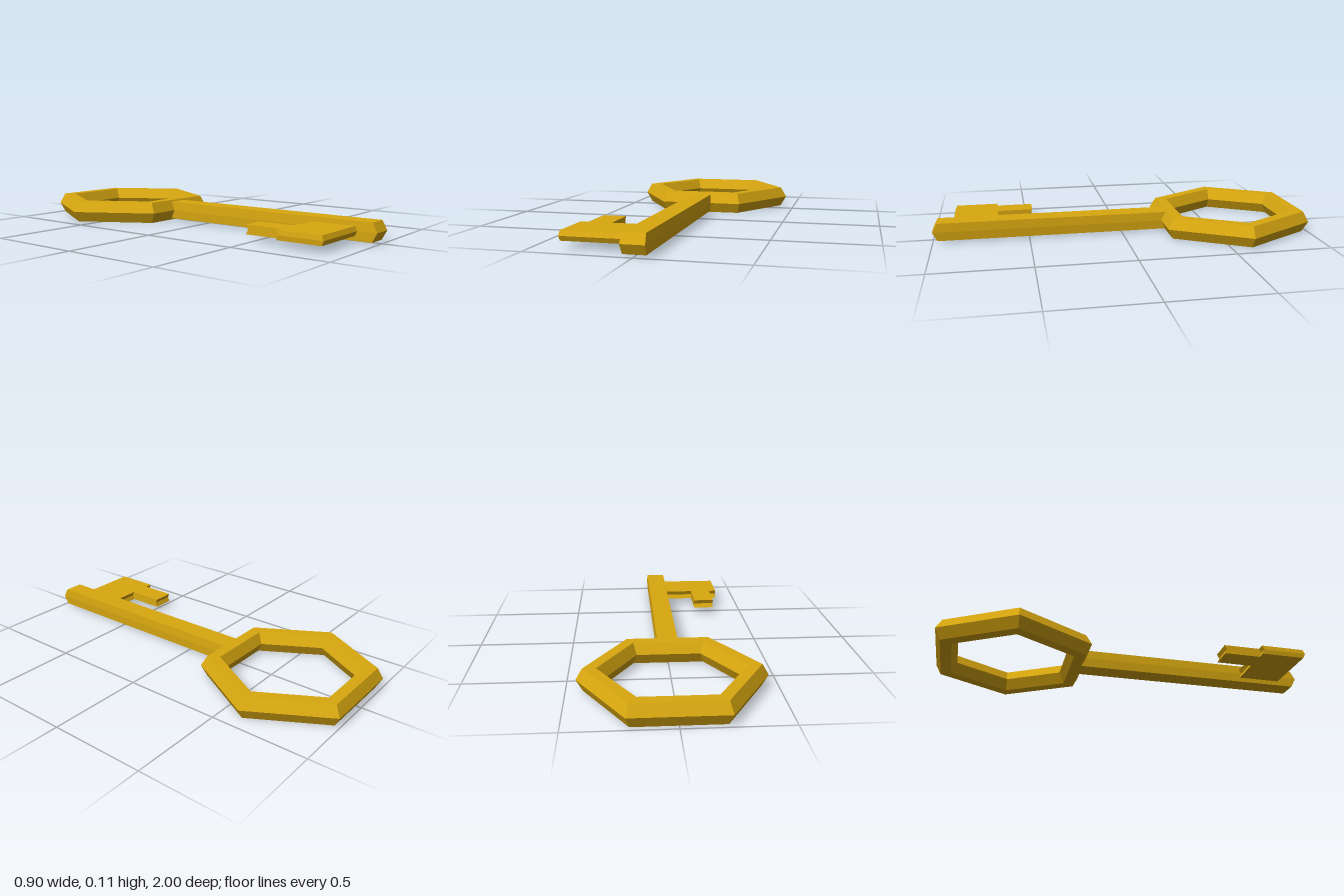
import * as THREE from 'three';

const MID = 0.056; // height of the middle plane

// Flat prism in the x-z plane built from a bottom, middle and top outline.
// Outlines are [x, z] lists, counter-clockwise when z is read as "up".
function layeredPrism(rim, belt, halfHeight) {
  const layers = [[rim, MID - halfHeight], [belt, MID], [rim, MID + halfHeight]];
  const n = rim.length;
  const positions = layers.flatMap(([pts, y]) => pts.flatMap(([x, z]) => [x, y, z]));
  const index = [];
  // side walls
  for (let l = 0; l < 2; l++) {
    for (let i = 0; i < n; i++) {
      const j = (i + 1) % n;
      const a = l * n + i, b = l * n + j;
      index.push(a, a + n, b + n, a, b + n, b);
    }
  }
  // bottom and top caps
  const caps = THREE.ShapeUtils.triangulateShape(rim.map(([x, z]) => new THREE.Vector2(x, z)), []);
  for (const [a, b, c] of caps) index.push(a, b, c, a + 2 * n, c + 2 * n, b + 2 * n);

  const indexed = new THREE.BufferGeometry();
  indexed.setAttribute('position', new THREE.Float32BufferAttribute(positions, 3));
  indexed.setIndex(index);
  const geometry = indexed.toNonIndexed();
  geometry.computeVertexNormals();
  return geometry;
}

export function createModel() {
  const model = new THREE.Group();
  model.name = 'key';
  const brass = new THREE.MeshStandardMaterial({ color: 0xd9a810, flatShading: true });

  const add = (name, geometry) => {
    const mesh = new THREE.Mesh(geometry, brass);
    mesh.name = name;
    model.add(mesh);
    return mesh;
  };

  // Six-sided bow with a hexagonal cross-section
  const bow = add('bow', new THREE.TorusGeometry(0.387, 0.0645, 6, 6));
  bow.rotation.x = -Math.PI / 2;
  bow.position.set(0, MID, -0.609);

  // Shaft, faintly swollen at mid-height with a ridged tip
  const shaftRim = [[-0.053, -0.27], [0.053, -0.27], [0.053, 0.975], [-0.053, 0.975]];
  const shaftBelt = [[-0.056, -0.27], [0.056, -0.27], [0.056, 1], [-0.056, 1]];
  add('shaft', layeredPrism(shaftRim, shaftBelt, 0.047));

  // Bit with one prong: front edge ridged, rear edges grooved
  const bitRim = [
    [-0.37, 0.66], [-0.33, 0.66], [-0.33, 0.468], [-0.215, 0.468],
    [-0.215, 0.66], [-0.03, 0.66], [-0.03, 0.89], [-0.37, 0.89],
  ];
  const bitBelt = bitRim.map(([x, z]) => [x < -0.36 ? x - 0.003 : x, z + 0.011]);
  add('bit', layeredPrism(bitRim, bitBelt, 0.0235));

  return model;
}
